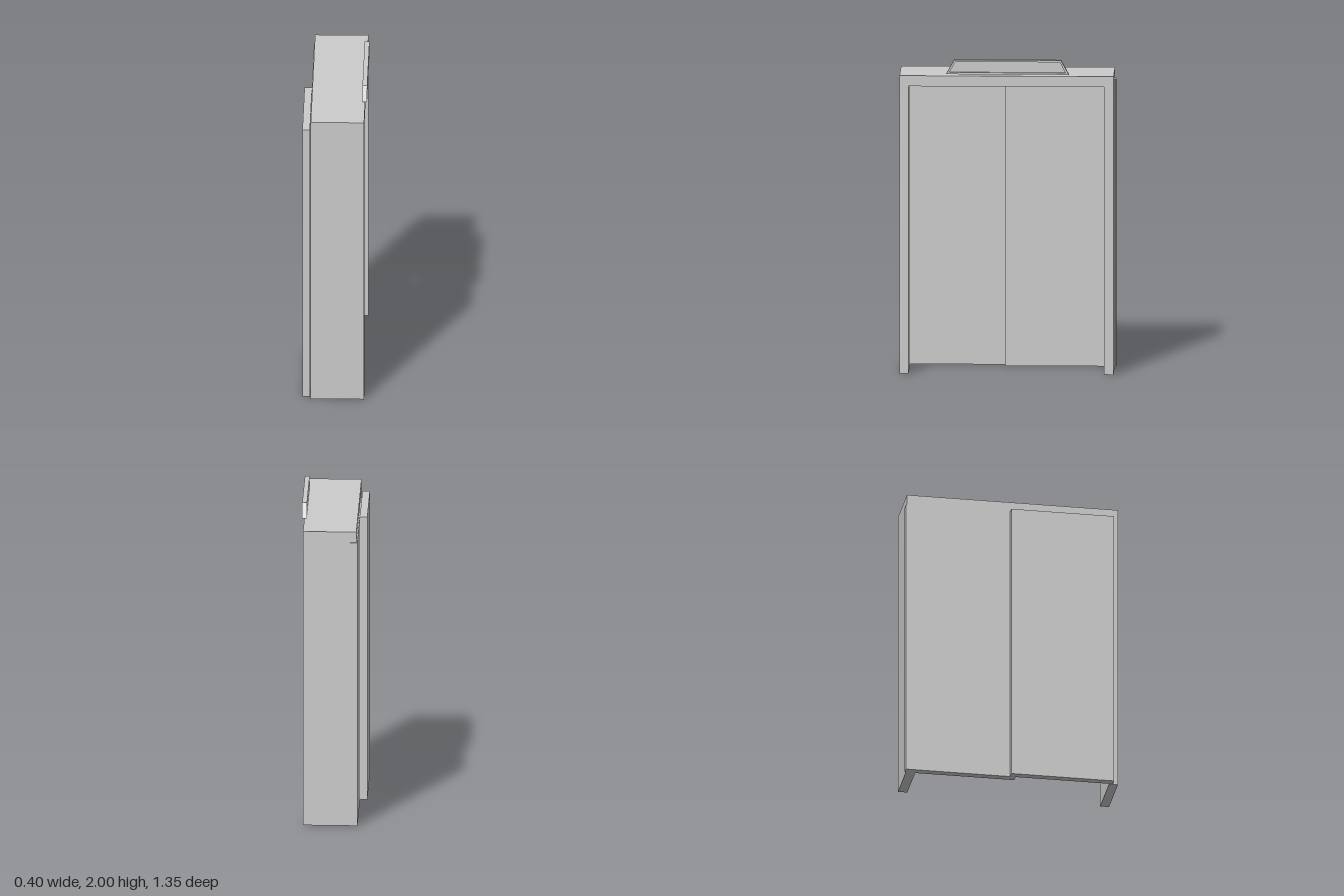
import * as THREE from 'three';

const material = new THREE.MeshStandardMaterial({ color: 0xcccccc, flatShading: true });

// Box given by its lower and upper limits on each axis
function block(name, [x0, x1], [y0, y1], [z0, z1]) {
  const mesh = new THREE.Mesh(new THREE.BoxGeometry(x1 - x0, y1 - y0, z1 - z0), material);
  mesh.name = name;
  mesh.position.set((x0 + x1) / 2, (y0 + y1) / 2, (z0 + z1) / 2);
  return mesh;
}

// Corners of the sign outline as (z, y), counter-clockwise
function trapezoid(bottomHalf, topHalf, y0, y1) {
  return [[-bottomHalf, y0], [bottomHalf, y0], [topHalf, y1], [-topHalf, y1]]
    .map(([z, y]) => new THREE.Vector2(z, y));
}

// Outline extruded along x, with its front face at xFront
function plate(name, shape, depth, xFront) {
  const geometry = new THREE.ExtrudeGeometry(shape, { depth, bevelEnabled: false });
  geometry.rotateY(-Math.PI / 2);
  const mesh = new THREE.Mesh(geometry, material);
  mesh.name = name;
  mesh.position.set(xFront, 0, -0.003);
  return mesh;
}

export function createModel() {
  const model = new THREE.Group();
  model.name = 'slidingDoorway';

  // Door frame: two posts under a full-width lintel
  const depth = [-0.147, 0.187];
  const frame = new THREE.Group();
  frame.name = 'doorFrame';
  frame.add(
    block('frontPost', depth, [0, 1.83], [0.617, 0.673]),
    block('backPost', depth, [0, 1.83], [-0.667, -0.608]),
    block('lintel', depth, [1.83, 1.897], [-0.667, 0.673]),
  );

  // Two overlapping sliding panels
  const panels = new THREE.Group();
  panels.name = 'slidingPanels';
  panels.add(
    block('innerPanel', [-0.154, -0.106], [0, 1.828], [-0.675, 0.022]),
    block('outerPanel', [-0.2, -0.153], [0, 1.828], [-0.013, 0.639]),
  );

  // Sign above the lintel: back plate with a raised rim
  const sign = new THREE.Group();
  sign.name = 'sign';
  const outline = trapezoid(0.384, 0.335, 1.91, 2);
  const rim = new THREE.Shape(outline);
  rim.holes.push(new THREE.Path(trapezoid(0.363, 0.328, 1.921, 1.989).reverse()));
  sign.add(
    plate('signPlate', new THREE.Shape(outline), 0.015, 0.185),
    plate('signRim', rim, 0.015, 0.2),
  );

  model.add(frame, panels, sign);
  return model;
}
